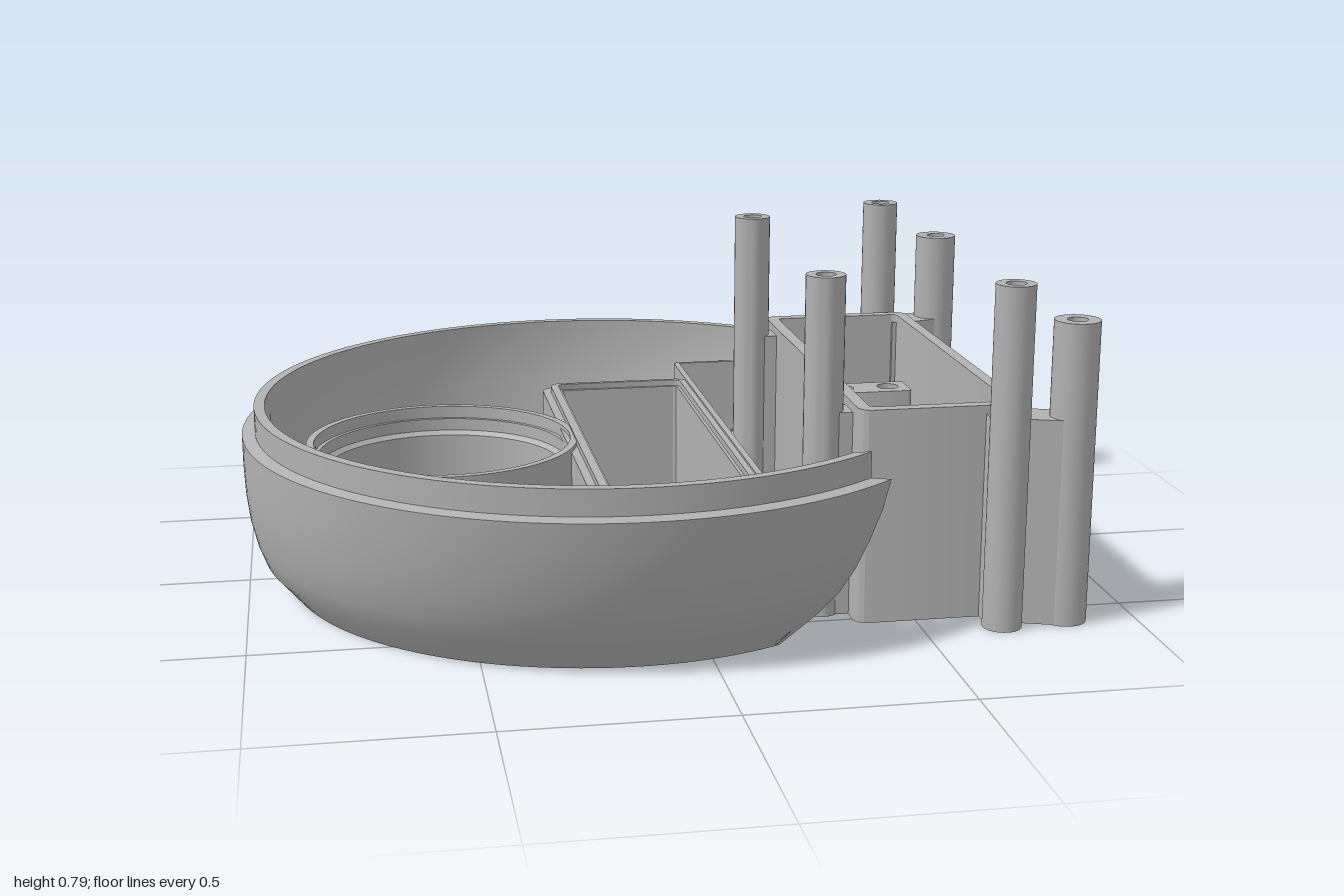
import * as THREE from 'three';
import { toCreasedNormals } from 'three/addons/utils/BufferGeometryUtils.js';

const V = (x, y) => new THREE.Vector2(x, y);

// Rounded rectangle in the ground plane (shape y = world z)
function rect(x0, z0, x1, z1, r, Type = THREE.Shape) {
  const s = new Type();
  s.moveTo(x0 + r, z0);
  s.lineTo(x1 - r, z0); s.absarc(x1 - r, z0 + r, r, -Math.PI / 2, 0);
  s.lineTo(x1, z1 - r); s.absarc(x1 - r, z1 - r, r, 0, Math.PI / 2);
  s.lineTo(x0 + r, z1); s.absarc(x0 + r, z1 - r, r, Math.PI / 2, Math.PI);
  s.lineTo(x0, z0 + r); s.absarc(x0 + r, z0 + r, r, Math.PI, Math.PI * 1.5);
  return s;
}
const circle = (x, z, r, Type = THREE.Path) => new Type().absarc(x, z, r, 0, Math.PI * 2);

// Upright prism from y0 to y1
function prism(shape, y0, y1, holes = []) {
  shape.holes.push(...holes);
  const g = new THREE.ExtrudeGeometry(shape, { depth: y1 - y0, bevelEnabled: false, curveSegments: 24 });
  return toCreasedNormals(g.rotateX(Math.PI / 2).translate(0, y1, 0), 0.6);
}

function turned(points, x, z, segments = 28) {
  const g = new THREE.LatheGeometry(points.map(p => V(...p)), segments);
  return toCreasedNormals(g.translate(x, 0, z), 0.6);
}

// Round pillar with a screw hole in its top
const pillar = (x, z, r, h, hole, depth) =>
  turned([[0, 0], [r, 0], [r, h], [hole, h], [hole, h - depth], [0, h - depth]], x, z);

const CX = -0.157, CUT_X = 0.16, CUT_Z = 0.63;

// Open bowl wall: closed section swept round, ending at the straight cut-out
function bowlWall() {
  // radius, height, extra radius on the far left
  const section = [
    [0.69, 0, 0], [0.705, 0, 0.04], [0.75, 0.07, 0.055], [0.775, 0.115, 0.047], [0.797, 0.17, 0.038],
    [0.815, 0.23, 0.027], [0.833, 0.3, 0.012], [0.845, 0.37, 0], [0.815, 0.375, 0], [0.815, 0.435, 0],
    [0.79, 0.435, 0], [0.79, 0.36, 0], [0.775, 0.28, 0.01], [0.755, 0.18, 0.025], [0.73, 0.1, 0.035],
    [0.71, 0.055, 0.03], [0.69, 0.03, 0]];
  const n = section.length, steps = 112, pos = [], idx = [];
  for (let j = 0; j <= steps; j++) {
    for (const [r0, y, extra] of section) {
      const dx = CUT_X - CX;
      const a0 = r0 > Math.hypot(dx, CUT_Z) ? Math.asin(CUT_Z / r0) : Math.acos(dx / r0);
      const a = a0 + (2 * Math.PI - 2 * a0) * j / steps;
      const r = r0 + extra * Math.max(0, -Math.cos(a)) ** 2;
      pos.push(CX + r * Math.cos(a), y, r * Math.sin(a));
    }
  }
  for (let j = 0; j < steps; j++) for (let i = 0; i < n; i++) {
    const k = (i + 1) % n, a = j * n, b = a + n;
    idx.push(a + i, a + k, b + i, a + k, b + k, b + i);
  }
  const last = steps * n;
  for (const [a, b, c] of THREE.ShapeUtils.triangulateShape(section.map(p => V(p[0], p[1])), [])) {
    idx.push(c, b, a, last + a, last + b, last + c);
  }
  const g = new THREE.BufferGeometry();
  g.setAttribute('position', new THREE.Float32BufferAttribute(pos, 3));
  g.setIndex(idx);
  return toCreasedNormals(g, 0.5);
}

export function createModel() {
  const model = new THREE.Group();
  const grey = new THREE.MeshStandardMaterial({ color: 0xb2b2b2, side: THREE.DoubleSide });
  grey.name = 'plain grey';
  const add = (name, geometry) => {
    const m = new THREE.Mesh(geometry, grey);
    m.name = name;
    model.add(m);
    return m;
  };
  const box = (name, x0, x1, y0, y1, z0, z1) => add(name, new THREE.BoxGeometry(x1 - x0, y1 - y0, z1 - z0)
    .translate((x0 + x1) / 2, (y0 + y1) / 2, (z0 + z1) / 2));

  // Bowl half with its flat floor
  add('bowlWall', bowlWall());
  const bosses = [[-0.285, -0.39], [-0.285, 0.39], [0.095, -0.56], [0.095, 0.555]];
  const a0 = Math.acos((CUT_X - CX) / 0.69);
  const floor = new THREE.Shape().absarc(CX, 0, 0.69, a0, 2 * Math.PI - a0);
  floor.closePath();
  add('bowlFloor', prism(floor, 0, 0.03,
    [circle(-0.53, -0.005, 0.31), ...bosses.map(([x, z]) => circle(x, z, 0.025))]));
  for (const [x, z] of bosses) {
    add('floorBoss', prism(circle(x, z, 0.055, THREE.Shape), 0.028, 0.07, [circle(x, z, 0.022)]));
  }
  box('cutWall', 0.145, CUT_X, 0.001, 0.34, -CUT_Z, CUT_Z);
  for (const s of [-1, 1]) {
    const cheek = new THREE.Shape([V(0.15, 0.005), V(0.2, 0.05), V(0.28, 0.15), V(0.33, 0.3), V(0.33, 0.34), V(0.15, 0.34)]);
    add('cutCheek', new THREE.ExtrudeGeometry(cheek, { depth: 0.012, bevelEnabled: false })
      .translate(0, 0, s > 0 ? CUT_Z : -CUT_Z - 0.012));
  }

  // Round socket through the floor
  add('socketRing', turned([[0.285, 0.015], [0.305, 0], [0.325, 0], [0.325, 0.33], [0.307, 0.33], [0.307, 0.3],
    [0.297, 0.3], [0.297, 0.27], [0.285, 0.26], [0.285, 0.015]], -0.53, -0.005, 64));
  add('socketBump', pillar(-0.65, -0.325, 0.055, 0.1, 0.001, 0.001));

  // Rectangular tray
  add('trayWall', prism(rect(-0.235, -0.5, 0.165, 0.5, 0.04), 0.002, 0.32,
    [rect(-0.185, -0.46, 0.122, 0.46, 0.01, THREE.Path)]));
  add('trayRim', prism(rect(-0.215, -0.48, 0.148, 0.48, 0.03), 0.32, 0.335,
    [rect(-0.195, -0.468, 0.13, 0.468, 0.015, THREE.Path)]));

  // Deep box with funnel hole
  add('boxWall', prism(rect(0.36, -0.46, 0.74, 0.53, 0.03), 0, 0.5,
    [rect(0.39, -0.43, 0.712, 0.5, 0.015, THREE.Path)]));
  add('boxFloor', prism(rect(0.385, -0.435, 0.717, 0.505, 0.005), 0.001, 0.05,
    [circle(0.55, 0.04, 0.149), circle(0.535, -0.26, 0.02)]));
  add('funnel', turned([[0.105, 0.001], [0.15, 0.001], [0.15, 0.05], [0.105, 0.02], [0.105, 0.001]], 0.55, 0.04, 48));
  add('floorBushing', prism(circle(0.535, -0.26, 0.03, THREE.Shape), 0.04, 0.065, [circle(0.535, -0.26, 0.02)]));
  for (const z of [-0.135, 0.45]) {
    add('screwBlock', prism(rect(0.44, z - 0.045, 0.66, z + 0.052, 0.01), 0.045, 0.38,
      [circle(0.493, z, 0.027), circle(0.61, z, 0.027)]));
  }

  // Screw pillars and the webs tying them to the box
  for (const [x, z] of [[0.3, -0.35], [0.3, 0.43], [0.683, -0.51], [0.683, 0.597]]) {
    add('tallPillar', pillar(x, z, 0.045, 0.79, 0.023, 0.12));
  }
  for (const z of [-0.35, 0.43]) box('pillarWeb', 0.32, 0.37, 0.001, 0.48, z - 0.035, z + 0.035);
  box('pillarWeb', 0.65, 0.715, 0.001, 0.48, -0.5, -0.44);
  box('pillarWeb', 0.65, 0.715, 0.001, 0.48, 0.51, 0.59);
  for (const [z, zi] of [[-0.495, -0.45], [0.577, 0.52]]) {
    add('shortPillar', pillar(0.835, z, 0.052, 0.7, 0.023, 0.12));
    const dir = Math.sign(z);
    const web = new THREE.Shape([V(0.7, zi - dir * 0.03), V(0.74, zi - dir * 0.03), V(0.845, z - dir * 0.045),
      V(0.82, z + dir * 0.045), V(0.7, zi + dir * 0.06)]);
    add('shortPillarWeb', prism(web, 0.001, 0.48));
  }

  // Small bosses low on the box sides
  add('sideBoss', prism(circle(0.765, 0.21, 0.067, THREE.Shape), 0, 0.075, [circle(0.765, 0.21, 0.034)]));
  box('sideBossRib', 0.738, 0.752, 0.05, 0.13, 0.176, 0.244);
  add('innerSideBoss', prism(circle(0.337, 0.33, 0.04, THREE.Shape), 0, 0.08, [circle(0.337, 0.33, 0.02)]));

  // Open cable clip on a flat arm
  const clip = new THREE.Shape();
  clip.absarc(0.937, -0.53, 0.062, 0.45, Math.PI * 2 - 0.45);
  clip.absarc(0.937, -0.53, 0.036, Math.PI * 2 - 0.6, 0.6, true);
  clip.closePath();
  add('cableClip', prism(clip, 0, 0.022));
  add('clipArm', prism(new THREE.Shape([V(0.83, -0.54), V(0.89, -0.555), V(0.89, -0.505), V(0.84, -0.46)]), 0, 0.022));

  // Upright tab with a slot
  const tab = new THREE.Shape([V(-0.53, 0), V(-0.64, 0), V(-0.64, 0.12), V(-0.53, 0.12)]);
  tab.holes.push(new THREE.Path([V(-0.627, 0.05), V(-0.605, 0.05), V(-0.605, 0.092), V(-0.627, 0.092)]));
  add('slottedTab', new THREE.ExtrudeGeometry(tab, { depth: 0.025, bevelEnabled: false })
    .rotateY(-Math.PI / 2).translate(0.715, 0, 0));

  // Round collar on the back of the box
  const collar = circle(0.52, 0.14, 0.11, THREE.Shape);
  collar.holes.push(circle(0.52, 0.14, 0.08));
  add('backCollar', toCreasedNormals(new THREE.ExtrudeGeometry(collar,
    { depth: 0.02, bevelEnabled: false, curveSegments: 24 }).translate(0, 0, -0.472), 0.6));

  return model;
}
